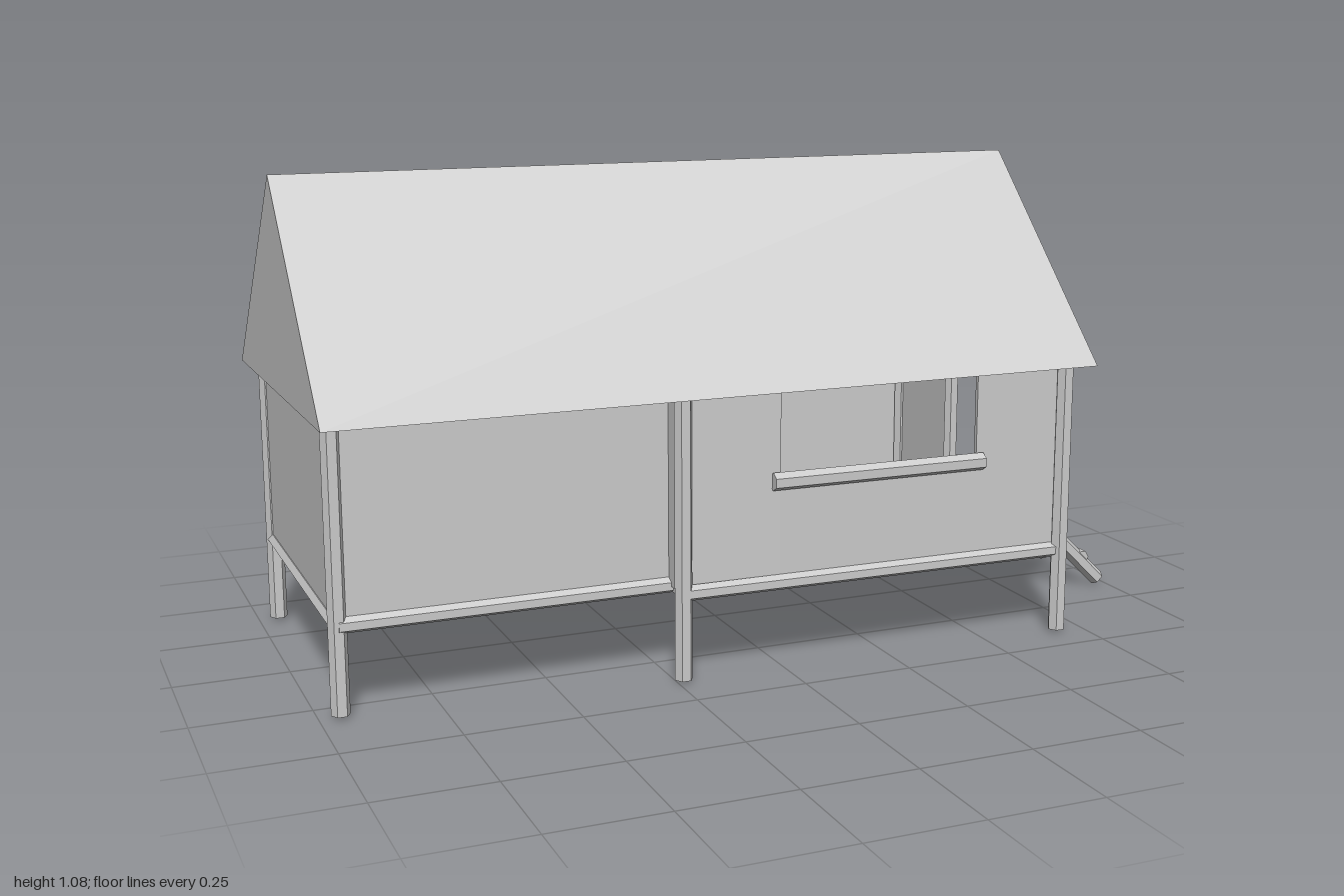
import * as THREE from 'three';

const FLOOR = 0.2, EAVE = 0.625;

export function createModel() {
  const model = new THREE.Group();
  model.name = 'stiltHut';
  const mat = new THREE.MeshStandardMaterial({ color: 0xcccccc, flatShading: true });

  const add = (name, geometry) => {
    const mesh = new THREE.Mesh(geometry, mat);
    mesh.name = name;
    model.add(mesh);
    return mesh;
  };

  // Six-sided pole between two points
  const pole = (name, a, b, r = 0.02) => {
    const from = new THREE.Vector3(...a), to = new THREE.Vector3(...b);
    const dir = to.clone().sub(from);
    const mesh = add(name, new THREE.CylinderGeometry(r, r, dir.length(), 6).rotateY(Math.PI / 6));
    mesh.position.copy(from).add(to).multiplyScalar(0.5);
    mesh.quaternion.setFromUnitVectors(new THREE.Vector3(0, 1, 0), dir.normalize());
  };

  // Thin upright panel between two plan points [x, z]
  const wall = (name, a, b, y0 = FLOOR, y1 = EAVE) => {
    const dx = b[0] - a[0], dz = b[1] - a[1];
    const mesh = add(name, new THREE.BoxGeometry(Math.hypot(dx, dz), y1 - y0, 0.01));
    mesh.position.set((a[0] + b[0]) / 2, (y0 + y1) / 2, (a[1] + b[1]) / 2);
    mesh.rotation.y = -Math.atan2(dz, dx);
  };

  // Solid gable roof, eaves slightly uneven
  const gable = new THREE.Shape([
    new THREE.Vector2(0.45, 0.615), new THREE.Vector2(0, 1.08), new THREE.Vector2(-0.45, 0.63),
  ]);
  const roof = add('roof', new THREE.ExtrudeGeometry(gable, { depth: 1.74, bevelEnabled: false }));
  roof.rotation.y = Math.PI / 2;
  roof.position.x = -1;

  // Floor slab, stepped back along the front left part
  const plan = new THREE.Shape([
    [-0.955, -0.385], [0.69, -0.365], [0.69, 0.4], [-0.235, 0.385], [-0.235, 0.315], [-0.955, 0.315],
  ].map(([x, z]) => new THREE.Vector2(x, -z)));
  const floor = add('floor', new THREE.ExtrudeGeometry(plan, { depth: 0.015, bevelEnabled: false }));
  floor.rotation.x = -Math.PI / 2;
  floor.position.y = 0.186;

  // Corner and middle stilts
  const stilts = [
    [0.685, 0.405], [-0.235, 0.387], [-0.955, 0.31],
    [0.685, -0.36], [-0.235, -0.377], [-0.955, -0.38],
  ];
  for (const [x, z] of stilts) pole('stilt', [x, 0.01, z], [x, EAVE, z]);

  // Floor beams around the edge
  const beams = [
    [[0.69, 0.4], [-0.235, 0.387]], [[-0.235, 0.315], [-0.955, 0.315]],
    [[-0.955, 0.31], [-0.955, -0.38]], [[-0.955, -0.38], [0.685, -0.36]],
    [[0.69, -0.36], [0.69, 0.4]],
  ];
  for (const [a, b] of beams) pole('floorBeam', [a[0], FLOOR, a[1]], [b[0], FLOOR, b[1]], 0.0175);

  // Back, left-hand end and recessed front walls
  wall('backWall', [-0.955, -0.39], [0.685, -0.37]);
  wall('endWall', [-0.957, -0.385], [-0.957, 0.31]);
  wall('recessedFrontWall', [-0.955, 0.31], [-0.235, 0.31]);
  wall('returnWall', [-0.235, 0.31], [-0.235, 0.38]);

  // Front wall around the window
  const frontAt = (x) => [x, 0.378 + (x + 0.235) * 0.019];
  wall('frontWallSide', frontAt(-0.235), frontAt(-0.01));
  wall('frontWallBelowWindow', frontAt(-0.01), frontAt(0.465), FLOOR, 0.43);
  wall('frontWallSide', frontAt(0.465), frontAt(0.685));
  pole('windowSill', [-0.03, 0.425, 0.392], [0.48, 0.425, 0.4]);

  // Door end: two panels, door posts and ladder
  wall('doorWall', [0.685, 0.395], [0.685, 0.13]);
  wall('doorWall', [0.685, -0.105], [0.685, -0.365]);
  for (const z of [0.13, -0.104]) {
    pole('doorPost', [0.687, FLOOR, z], [0.687, EAVE, z], 0.018);
    pole('ladderRail', [0.695, 0.295, z], [0.98, 0.018, z], 0.019);
  }
  for (const [x, y] of [[0.766, 0.238], [0.845, 0.157], [0.93, 0.078]]) {
    pole('ladderRung', [x, y, 0.14], [x, y, -0.1], 0.018);
  }
  return model;
}
